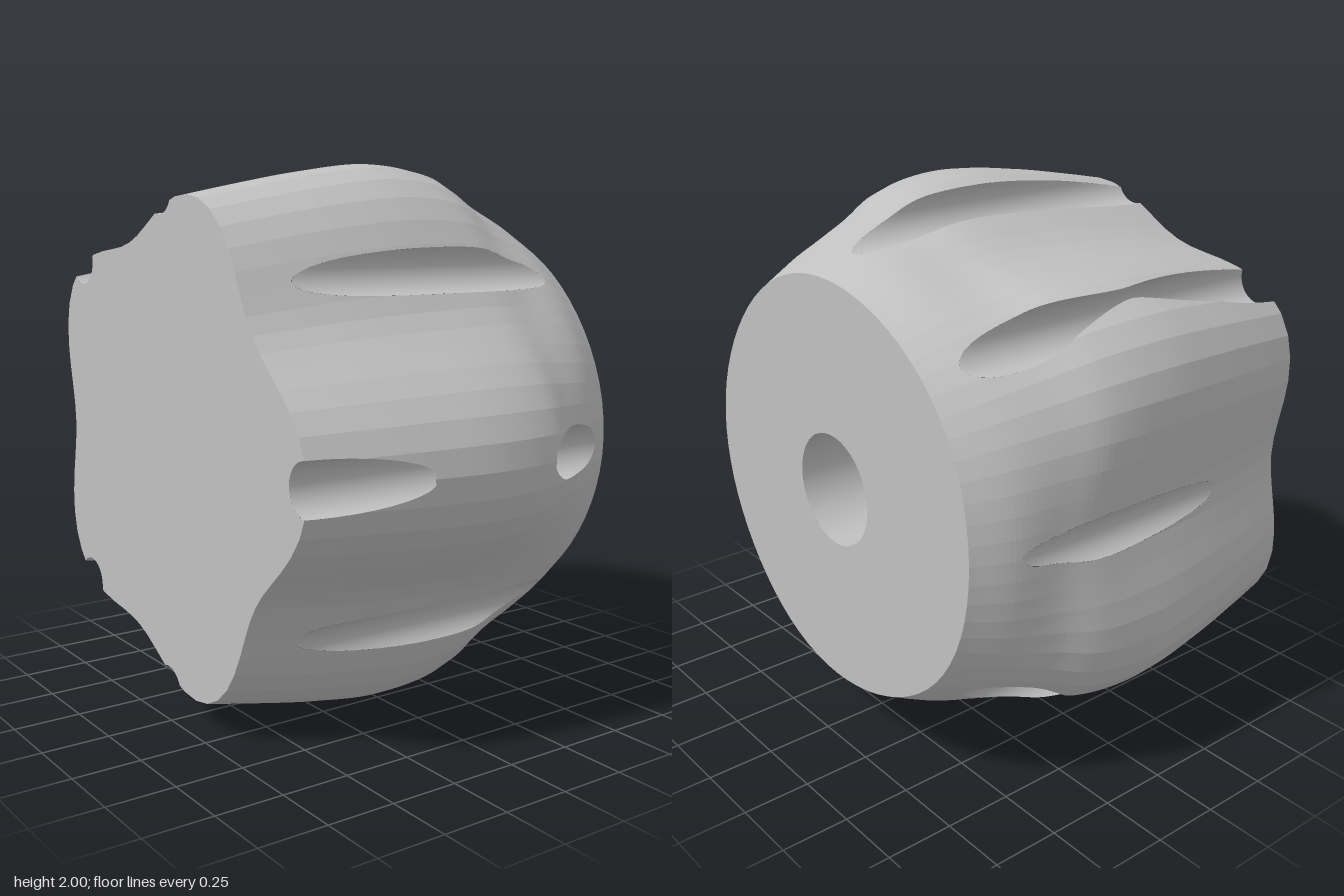
import * as THREE from 'three';
import { mergeVertices } from 'three/addons/utils/BufferGeometryUtils.js';

const CX = -0.07, CY = 1;              // knob axis
const BACK = -0.72, FRONT = 0.72;
const SIDES = 70, FACET = (Math.PI * 2) / SIDES;
const GROOVE_RING = 0.911, GROOVE_R = 0.092;
const HOLE_R = 0.205, HOLE_END = 0.08;

// Lobed section along the axis: z, mean radius, lobe height
const rows = new THREE.CatmullRomCurve3([
  [BACK, 0.758, 0.004], [-0.58, 0.826, 0.012], [-0.4, 0.879, 0.043], [-0.25, 0.928, 0.072],
  [0, 0.941, 0.094], [0.29, 0.913, 0.09], [0.53, 0.874, 0.085], [FRONT, 0.838, 0.082],
].map((p) => new THREE.Vector3(...p))).getPoints(140);

// Radius of the faceted five-lobed body at an angle and depth
function bodyRadius(angle, z) {
  let i = rows.findIndex((p) => p.x >= z);
  if (i < 0) i = rows.length - 1;
  i = Math.max(i, 1);
  const t = (z - rows[i - 1].x) / (rows[i].x - rows[i - 1].x);
  const s = rows[i - 1].clone().lerp(rows[i], t);
  const k = Math.floor(angle / FACET + 1e-7);
  const r1 = s.y + s.z * Math.cos(5 * k * FACET);
  const r2 = s.y + s.z * Math.cos(5 * (k + 1) * FACET);
  const a = angle - k * FACET;
  return (r1 * r2 * Math.sin(FACET)) / (r1 * Math.sin(a) + r2 * Math.sin(FACET - a));
}

const polar = (r, a, z) => new THREE.Vector3(CX + r * Math.cos(a), CY + r * Math.sin(a), z);

const grooves = Array.from({ length: 8 }, (_, i) => polar(GROOVE_RING, (i * Math.PI) / 4, 0));

// Positive outside every groove
const outsideGrooves = (p) =>
  Math.min(...grooves.map((g) => Math.hypot(p.x - g.x, p.y - g.y))) - GROOVE_R;

// Positive inside the body
const insideBody = (p) => {
  const dx = p.x - CX, dy = p.y - CY;
  return bodyRadius(Math.atan2(dy, dx), p.z) - Math.hypot(dx, dy);
};

// Point on an edge where the cutting rule changes sign
function cutPoint(a, b, keep) {
  const lo = a.clone(), hi = b.clone();
  for (let i = 0; i < 14; i++) {
    const mid = lo.clone().lerp(hi, 0.5);
    if (keep(mid) > 0) lo.copy(mid); else hi.copy(mid);
  }
  return lo;
}

// Grid surface trimmed to where keep(point) is positive
function surface(point, nu, nv, keep, smooth) {
  const pos = [];
  const grid = [];
  for (let i = 0; i <= nu; i++) {
    grid.push([]);
    for (let j = 0; j <= nv; j++) {
      const p = point(i / nu, j / nv);
      grid[i].push({ p, on: !keep || keep(p) > 0 });
    }
  }
  const addTriangle = (tri) => {
    const poly = [];
    tri.forEach((a, i) => {
      const b = tri[(i + 1) % 3];
      if (a.on) poly.push(a.p);
      if (a.on !== b.on) poly.push(a.on ? cutPoint(a.p, b.p, keep) : cutPoint(b.p, a.p, keep));
    });
    for (let i = 1; i + 1 < poly.length; i++) {
      for (const p of [poly[0], poly[i], poly[i + 1]]) pos.push(p.x, p.y, p.z);
    }
  };
  for (let i = 0; i < nu; i++) {
    for (let j = 0; j < nv; j++) {
      const a = grid[i][j], b = grid[i + 1][j], c = grid[i + 1][j + 1], d = grid[i][j + 1];
      addTriangle([a, b, c]);
      addTriangle([a, c, d]);
    }
  }
  let geo = new THREE.BufferGeometry();
  geo.setAttribute('position', new THREE.Float32BufferAttribute(pos, 3));
  if (smooth) geo = mergeVertices(geo, 1e-5);
  geo.computeVertexNormals();
  return geo;
}

export function createModel() {
  const group = new THREE.Group();
  group.name = 'lobedKnob';
  const grey = new THREE.MeshStandardMaterial({ color: 0xc0c0c0 });
  grey.name = 'grey';
  const add = (name, geo) => {
    const mesh = new THREE.Mesh(geo, grey);
    mesh.name = name;
    group.add(mesh);
  };
  const TURN = Math.PI * 2;
  const depth = (v) => THREE.MathUtils.lerp(BACK, FRONT, v);

  // Faceted outer skin with the grooves cut away
  add('outerSkin', surface((u, v) => {
    const z = depth(v);
    return polar(bodyRadius(u * TURN, z), u * TURN, z);
  }, SIDES * 4, 72, outsideGrooves, false));

  // Groove walls, which run on as tunnels through the tallest lobes
  grooves.forEach((g, i) => {
    add(`grooveWall${i + 1}`, surface((u, v) => new THREE.Vector3(
      g.x + GROOVE_R * Math.cos(-u * TURN), g.y + GROOVE_R * Math.sin(-u * TURN), depth(v),
    ), 40, 72, insideBody, true));
  });

  // Flat front face, notched by the grooves
  add('frontFace', surface((u, v) =>
    polar(bodyRadius(v * TURN, FRONT) * Math.pow(u, 0.4), v * TURN, FRONT),
  24, SIDES * 4, outsideGrooves, false));

  // Flat back face around the shaft hole
  add('backFace', surface((u, v) =>
    polar(THREE.MathUtils.lerp(HOLE_R, bodyRadius(u * TURN, BACK), v), u * TURN, BACK),
  SIDES * 4, 1, null, false));

  // Blind shaft hole
  add('shaftHoleWall', surface((u, v) =>
    polar(HOLE_R, -u * TURN, THREE.MathUtils.lerp(BACK, HOLE_END, v)), SIDES, 1, null, true));
  const end = new THREE.CircleGeometry(HOLE_R, SIDES);
  end.rotateY(Math.PI).translate(CX, CY, HOLE_END);
  add('shaftHoleEnd', end);

  return group;
}
